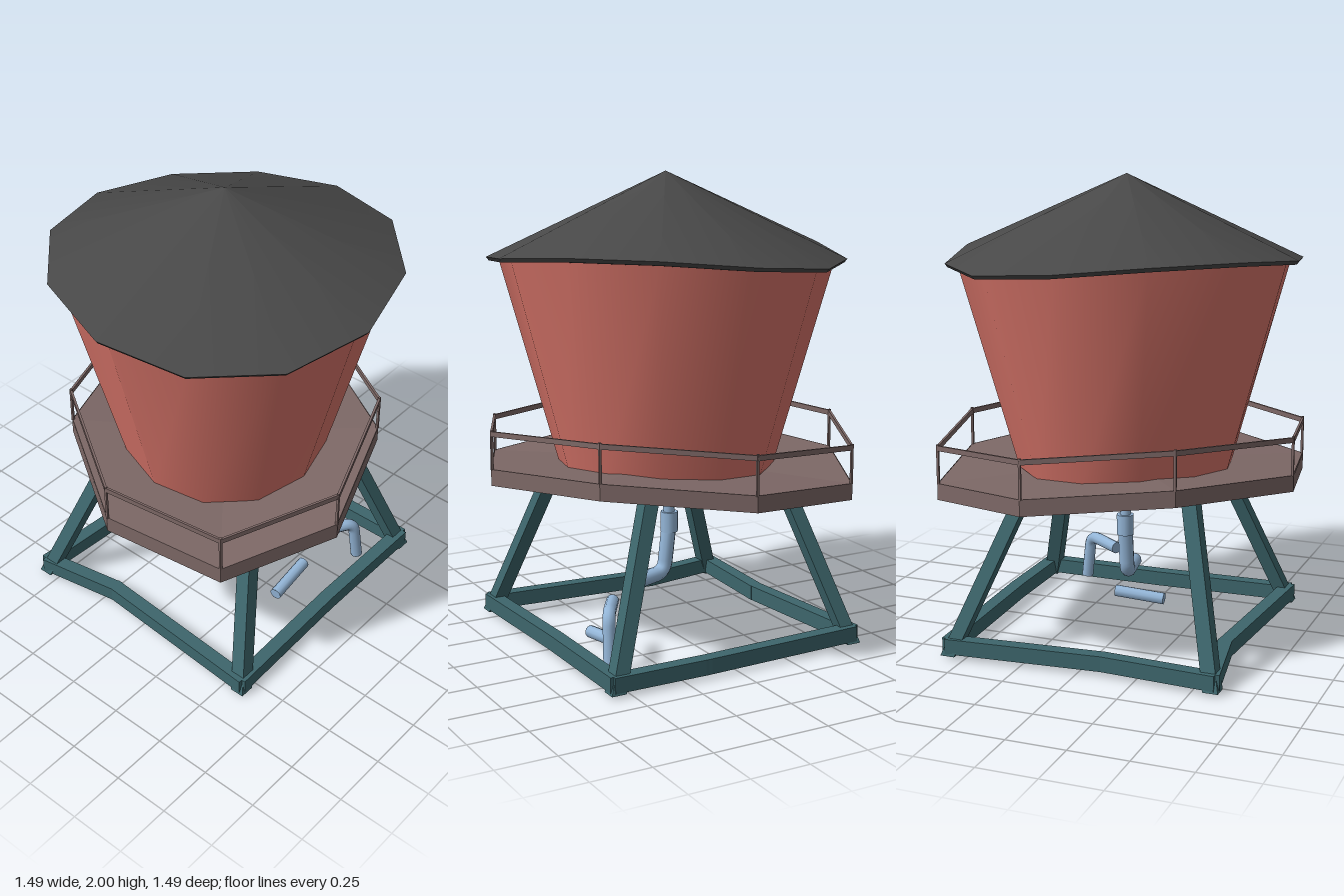
import * as THREE from 'three';

const V = (x, y, z) => new THREE.Vector3(x, y, z);
const paint = (color, flat = false) =>
  new THREE.MeshStandardMaterial({ color, flatShading: flat, side: THREE.DoubleSide });

// Gives a round part its crooked look: saddle-shaped height and skewed depth.
function warpPoint(p, skew) {
  return p.set(p.x, p.y - 0.14 * p.x * p.z, p.z + skew * p.x);
}
function warp(geo, skew) {
  const pos = geo.attributes.position, p = V(0, 0, 0);
  for (let i = 0; i < pos.count; i++) {
    warpPoint(p.fromBufferAttribute(pos, i), skew);
    pos.setXYZ(i, p.x, p.y, p.z);
  }
  geo.computeVertexNormals();
  return geo;
}

export function createModel() {
  const model = new THREE.Group();
  const steel = paint(0x3d666c, true), wood = paint(0x7d6866, true);
  const red = paint(0xdb766b), dark = paint(0x484848), blue = paint(0x94b6d8);

  const add = (name, geo, mat, parent = model) => {
    const mesh = new THREE.Mesh(geo, mat);
    mesh.name = name;
    parent.add(mesh);
    return mesh;
  };
  const group = (name) => {
    const g = new THREE.Group();
    g.name = name;
    model.add(g);
    return g;
  };
  // Horizontal-ish bar between two points
  const bar = (name, a, b, w, h, mat, parent) => {
    const m = add(name, new THREE.BoxGeometry(w, h, a.distanceTo(b) + w * 0.5), mat, parent);
    m.position.copy(a).lerp(b, 0.5);
    m.lookAt(b);
  };
  // Leaning post whose square section stays aligned with the axes
  const post = (name, a, b, w, mat, parent) => {
    const geo = new THREE.BoxGeometry(w, 1, w), pos = geo.attributes.position;
    for (let i = 0; i < pos.count; i++) {
      const c = a.clone().lerp(b, pos.getY(i) + 0.5);
      pos.setXYZ(i, pos.getX(i) + c.x, c.y, pos.getZ(i) + c.z);
    }
    geo.computeVertexNormals();
    add(name, geo, mat, parent);
  };

  // Roof: shallow twelve-sided cone, thin rim and underside
  const roof = group('roof');
  const cone = new THREE.ConeGeometry(0.747, 0.33, 12, 1, true).translate(0, 1.835, 0);
  add('roofCone', warp(cone, 0.045), dark, roof);
  const rim = new THREE.CylinderGeometry(0.747, 0.735, 0.016, 12, 1, true).translate(0, 1.662, 0);
  add('roofRim', warp(rim, 0.045), dark, roof);
  const under = new THREE.CylinderGeometry(0.735, 0.6, 0.006, 12, 1, true).translate(0, 1.651, 0);
  add('roofUnderside', warp(under, 0.045), dark, roof);

  // Tank: tapered, wider at the top
  const tank = new THREE.CylinderGeometry(0.695, 0.455, 0.89, 12, 1, true).translate(0, 1.215, 0);
  add('tank', warp(tank, 0.045), red);

  // Octagonal deck: floor plate on an open skirt
  const SKEW = 0.22;
  const deck = group('deck');
  const skirt = new THREE.CylinderGeometry(0.745, 0.745, 0.07, 8, 1, true).translate(0, 0.738, 0);
  add('deckSkirt', warp(skirt, SKEW), wood, deck);
  const floor = new THREE.CylinderGeometry(0.742, 0.742, 0.012, 8).translate(0, 0.767, 0);
  add('deckFloor', warp(floor, SKEW), wood, deck);

  // Railing
  const railing = group('railing');
  const corner = (i, y) => {
    const t = (i * Math.PI) / 4;
    return warpPoint(V(0.74 * Math.sin(t), y, 0.74 * Math.cos(t)), SKEW);
  };
  for (let i = 0; i < 8; i++) {
    post('railPost', corner(i, 0.77), corner(i, 0.94), 0.01, wood, railing);
    bar('handrail', corner(i, 0.925), corner(i + 1, 0.925), 0.01, 0.022, wood, railing);
  }

  // Stand: splayed legs, top frame and bent base beams
  const stand = group('stand');
  const feet = [V(0.58, 0.053, 0.57), V(0.56, 0.053, -0.6), V(-0.585, 0.053, -0.57), V(-0.56, 0.053, 0.585)];
  const heads = [V(0.39, 0.72, 0.29), V(0.29, 0.745, -0.39), V(-0.39, 0.72, -0.29), V(-0.29, 0.745, 0.39)];
  const bends = [V(0.56, 0.053, -0.05), V(0.15, 0.053, -0.6), V(-0.53, 0.053, 0.1), V(-0.2, 0.053, 0.52)];
  feet.forEach((foot, i) => {
    const next = (i + 1) % 4;
    post('leg', foot.clone().setY(0.012), heads[i], 0.064, steel, stand);
    bar('baseBeam', foot, bends[i], 0.06, 0.066, steel, stand);
    bar('baseBeam', bends[i], feet[next], 0.06, 0.066, steel, stand);
    bar('topBeam', heads[i], heads[next], 0.05, 0.045, steel, stand);
  });

  // Pipes: straight runs with rounded elbows and capped ends
  const pipes = group('pipes');
  const pipe = (name, pts, r) => {
    const path = new THREE.CurvePath();
    let from = pts[0];
    for (let i = 1; i < pts.length - 1; i++) {
      const p = pts[i], dIn = pts[i - 1].clone().sub(p).setLength(0.05);
      const dOut = pts[i + 1].clone().sub(p).setLength(0.05);
      const a = p.clone().add(dIn), b = p.clone().add(dOut);
      path.add(new THREE.LineCurve3(from, a));
      path.add(new THREE.QuadraticBezierCurve3(a, p, b));
      from = b;
    }
    const end = pts[pts.length - 1];
    path.add(new THREE.LineCurve3(from, end));
    add(name, new THREE.TubeGeometry(path, 32, r, 10), blue, pipes);
    [[pts[0], pts[1]], [end, pts[pts.length - 2]]].forEach(([p, q]) => {
      const cap = add(name + 'Cap', new THREE.CircleGeometry(r, 10), blue, pipes);
      cap.position.copy(p);
      cap.lookAt(p.clone().multiplyScalar(2).sub(q));
    });
  };
  pipe('upperPipe', [V(-0.006, 0.76, 0), V(-0.018, 0.5, 0)], 0.025);
  pipe('elbowPipe', [V(-0.018, 0.48, 0), V(0.008, 0.26, 0), V(0.21, 0.245, -0.045)], 0.033);
  pipe('bentPipe', [V(0.36, 0.24, -0.19), V(0.465, 0.25, -0.36), V(0.475, 0.05, -0.385)], 0.027);
  pipe('loosePipe', [V(0.345, 0.027, 0.05), V(0.325, 0.045, -0.18)], 0.027);
  const collar = add('pipeCollar', new THREE.CylinderGeometry(0.038, 0.038, 0.09, 10), blue, pipes);
  collar.position.set(-0.018, 0.485, 0);

  return model;
}
